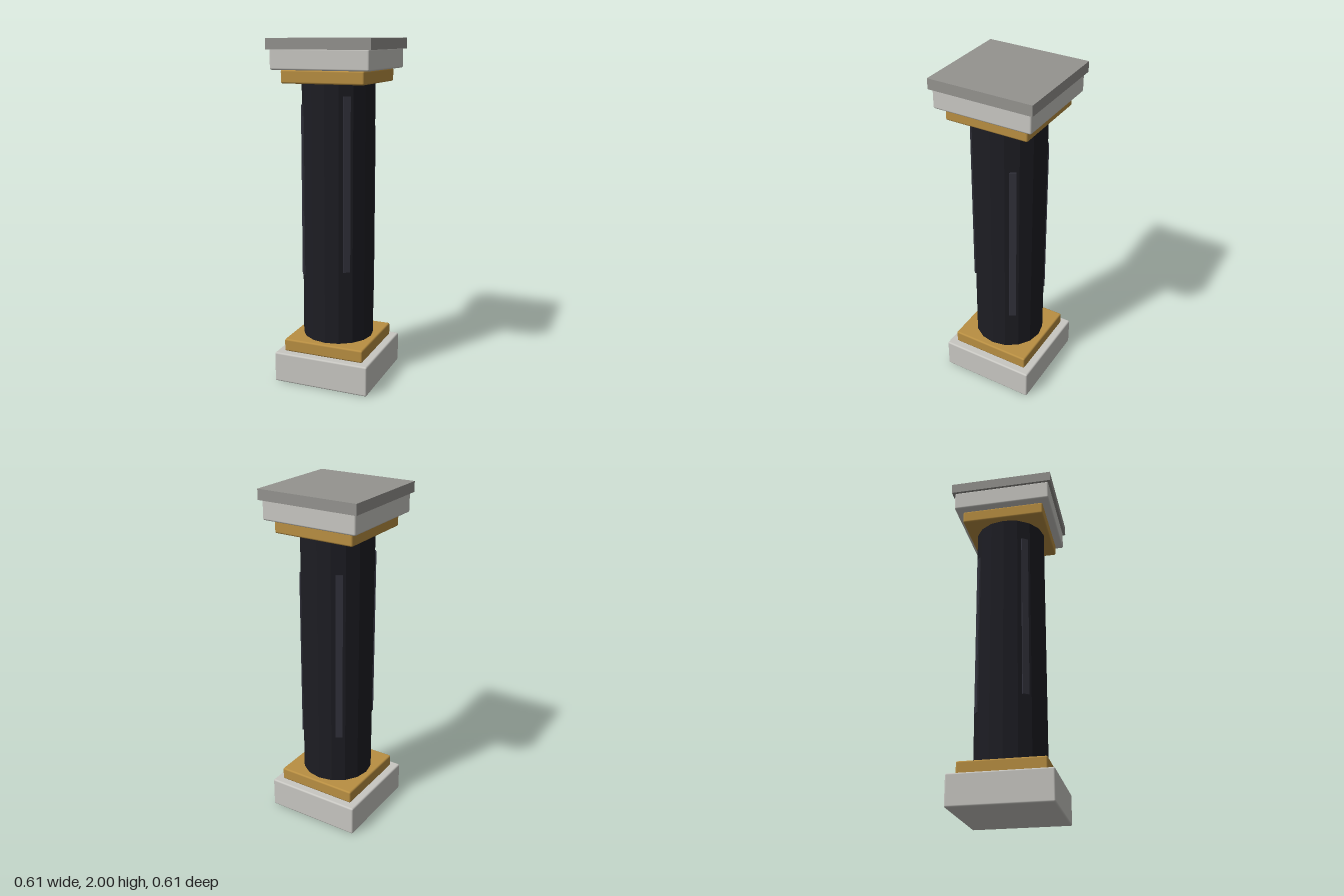
import * as THREE from 'three';
import { RoundedBoxGeometry } from 'three/addons/geometries/RoundedBoxGeometry.js';

const paint = (color, flatShading = false) => new THREE.MeshStandardMaterial({ color, flatShading });

export function createModel() {
  const column = new THREE.Group();
  column.name = 'column';

  const stone = paint(0xc8c7c2);
  const gold = paint(0xb98f42);
  const darkStone = paint(0x1d1d23, true);
  const sheen = paint(0x33333d);
  const grey = paint(0x94938f);

  const add = (name, geometry, material) => {
    const mesh = new THREE.Mesh(geometry, material);
    mesh.name = name;
    column.add(mesh);
    return mesh;
  };

  // Square slab with softly rounded edges between two heights
  const slab = (name, width, bottom, top, material) => {
    const geometry = new RoundedBoxGeometry(width, top - bottom, width, 2, 0.01);
    add(name, geometry, material).position.y = (bottom + top) / 2;
  };

  // Base and capital
  slab('base', 0.58, 0, 0.18, stone);
  slab('lowerBand', 0.492, 0.18, 0.255, gold);
  slab('upperBand', 0.492, 1.755, 1.83, gold);
  slab('capital', 0.58, 1.83, 1.945, stone);

  // Sharp-edged top plate
  add('topPlate', new THREE.BoxGeometry(0.61, 0.06, 0.61), grey).position.y = 1.97;

  // Faceted shaft
  add('shaft', new THREE.CylinderGeometry(0.21, 0.21, 1.53, 16), darkStone).position.y = 1.005;

  // Thin vertical strips set into the shaft: angle from the front, centre height
  const strips = [[35, 1.19], [125, 1.005], [215, 1.06], [305, 1.13]];
  for (const [degrees, height] of strips) {
    const angle = THREE.MathUtils.degToRad(degrees);
    const strip = add('shaftStrip', new THREE.BoxGeometry(0.04, 1, 0.01), sheen);
    strip.position.set(0.21 * Math.sin(angle), height, 0.21 * Math.cos(angle));
    strip.rotation.y = angle;
  }

  return column;
}
